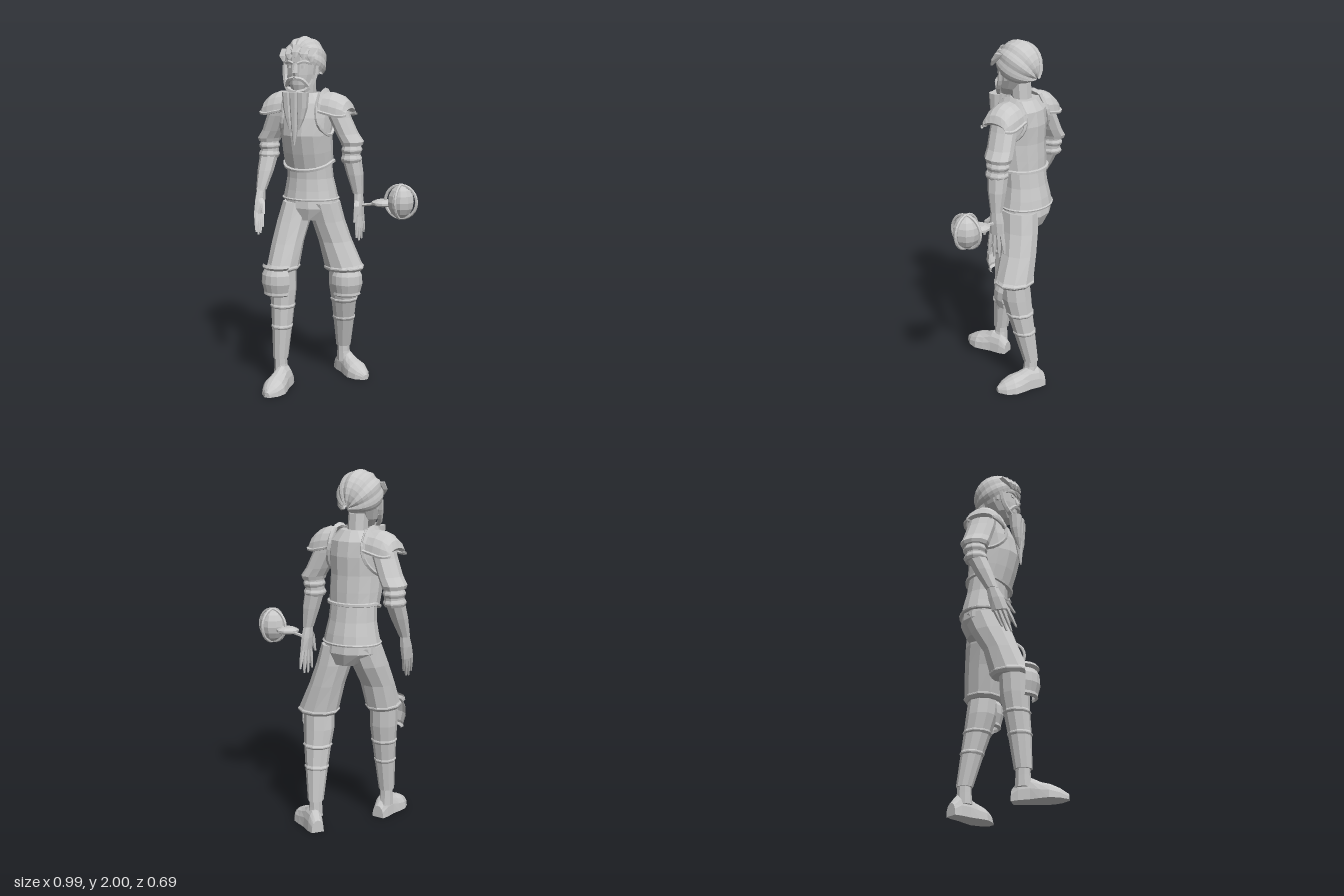
import * as THREE from 'three';

const V = (x, y, z) => new THREE.Vector3(x, y, z);
const CX = -0.165; // centre line of the torso

export function createModel() {
  const clay = new THREE.MeshStandardMaterial({ color: 0xc8c8c8, flatShading: true, side: THREE.DoubleSide });
  clay.name = 'light grey';
  const root = new THREE.Group();
  root.name = 'bearded warrior';

  const add = (name, geo, parent = root) => {
    const m = new THREE.Mesh(geo, clay);
    m.name = name;
    parent.add(m);
    return m;
  };

  // Faceted skin over rows of points
  const skin = (rows, closed) => {
    const n = rows[0].length, pos = [], idx = [];
    rows.forEach(r => r.forEach(p => pos.push(p.x, p.y, p.z)));
    for (let i = 0; i < rows.length - 1; i++) {
      for (let j = 0; j < (closed ? n : n - 1); j++) {
        const a = i * n + j, b = i * n + (j + 1) % n, c = a + n, d = b + n;
        idx.push(a, b, d, a, d, c);
      }
    }
    const g = new THREE.BufferGeometry();
    g.setAttribute('position', new THREE.Float32BufferAttribute(pos, 3));
    g.setIndex(idx);
    const flat = g.toNonIndexed();
    flat.computeVertexNormals();
    return flat;
  };

  // Closed body from level ellipses [x, y, z, rx, rz, front dip]
  const loft = (name, rings, n = 10, parent = root) => {
    const s = [...rings].sort((p, q) => p[1] - q[1]);
    const end = r => [r[0], r[1], r[2], 0, 0];
    const rows = [end(s[0]), ...s, end(s[s.length - 1])].map(([x, y, z, rx, rz, dip = 0]) =>
      Array.from({ length: n }, (_, j) => {
        const a = ((j + 0.5) / n) * Math.PI * 2;
        return V(x + rx * Math.sin(a), y - dip * Math.max(0, Math.cos(a)), z + rz * Math.cos(a));
      }));
    return add(name, skin(rows, true), parent);
  };

  const tube = (name, pts, r, closed = false, seg = 20) =>
    add(name, new THREE.TubeGeometry(new THREE.CatmullRomCurve3(pts, closed), seg, r, 5, closed));

  // Flared lip around a limb
  const lip = (name, x, y, z, rx, rz, h = 0.025) =>
    loft(name, [[x, y + h, z, rx * 0.93, rz * 0.93], [x, y + h * 0.3, z, rx * 1.08, rz * 1.08],
      [x, y, z, rx * 1.08, rz * 1.08], [x, y - h * 0.6, z, rx * 0.95, rz * 0.95]]);

  // Torso: tunic, breastplate, trims and neck
  loft('tunic', [[CX, 1.075, -0.115, 0.165, 0.138], [CX, 1.13, -0.115, 0.153, 0.128],
    [CX, 1.2, -0.11, 0.138, 0.115], [CX, 1.3, -0.1, 0.132, 0.108]], 14);
  loft('breastplate', [[CX, 1.295, -0.095, 0.142, 0.122, 0.045], [CX, 1.36, -0.08, 0.145, 0.135, 0.015],
    [CX, 1.45, -0.065, 0.146, 0.145], [CX, 1.55, -0.075, 0.15, 0.138],
    [CX, 1.63, -0.085, 0.15, 0.115], [CX, 1.685, -0.085, 0.085, 0.075]], 14);
  tube('breastplateRim', Array.from({ length: 16 }, (_, i) => {
    const a = i / 16 * Math.PI * 2;
    return V(CX + 0.144 * Math.sin(a), 1.295 - 0.045 * Math.max(0, Math.cos(a)), -0.095 + 0.124 * Math.cos(a));
  }), 0.011, true, 32);
  tube('tunicHem', Array.from({ length: 14 }, (_, i) => {
    const a = i / 14 * Math.PI * 2;
    return V(CX + 0.164 * Math.sin(a), 1.08, -0.115 + 0.137 * Math.cos(a));
  }), 0.007, true, 28);
  loft('neck', [[-0.17, 1.62, -0.08, 0.07, 0.065], [-0.17, 1.68, -0.075, 0.055, 0.055], [-0.17, 1.77, -0.065, 0.055, 0.058]], 8);

  for (const s of [1, -1]) {
    const side = s > 0 ? 'left' : 'right';
    tube(side + 'ArmholeTrim', [V(CX + s * 0.1, 1.69, -0.03), V(CX + s * 0.1, 1.6, 0.022), V(CX + s * 0.115, 1.51, 0.025),
      V(CX + s * 0.145, 1.45, -0.06), V(CX + s * 0.125, 1.52, -0.165), V(CX + s * 0.105, 1.6, -0.18), V(CX + s * 0.1, 1.69, -0.13)], 0.011);

    // Shoulder guards: arched bands stepping outwards
    const arch = [[0.095, 1.7, 1.6, 0.095], [0.11, 1.715, 1.59, 0.105], [0.122, 1.69, 1.585, 0.1], [0.17, 1.69, 1.575, 0.103],
      [0.215, 1.675, 1.565, 0.1], [0.25, 1.645, 1.565, 0.09], [0.266, 1.605, 1.57, 0.075], [0.25, 1.59, 1.57, 0.06]];
    const rows = arch.map(([x, top, base, rz]) => Array.from({ length: 9 }, (_, j) => {
      const t = j / 8 * Math.PI;
      return V(CX + s * x, base + (top - base) * Math.sin(t), -0.08 + rz * Math.cos(t));
    }));
    add(side + 'ShoulderGuard', skin(rows, false));
    for (const j of [0, 8]) tube(side + 'ShoulderGuardRim', rows.slice(1, 7).map(r => r[j]), 0.009);

    // Sleeve with elbow cuffs
    loft(side + 'Sleeve', [[CX + s * 0.165, 1.64, -0.085, 0.06, 0.075], [CX + s * 0.195, 1.55, -0.092, 0.06, 0.08],
      [CX + s * 0.235, 1.46, -0.103, 0.06, 0.08], [CX + s * 0.263, 1.415, -0.108, 0.064, 0.082],
      [CX + s * 0.263, 1.395, -0.108, 0.058, 0.074]]);
    loft(side + 'Elbow', [[CX + s * 0.26, 1.41, -0.108, 0.05, 0.06], [CX + s * 0.26, 1.31, -0.1, 0.052, 0.058]]);
    lip(side + 'UpperCuff', CX + s * 0.262, 1.365, -0.105, 0.054, 0.063);
    lip(side + 'LowerCuff', CX + s * 0.262, 1.315, -0.1, 0.055, 0.063);
  }

  // Forearms and hands; one arm swings forward
  const arm = (side, fore, knuckle, tip, spread, thumb) => {
    loft(side + 'Forearm', fore, 8);
    const w = fore[fore.length - 1];
    loft(side + 'Palm', [[w[0], w[1] + 0.01, w[2], 0.024, 0.032], [(w[0] + knuckle[0]) / 2, 1.06, (w[2] + knuckle[2]) / 2, 0.026, 0.046],
      [...knuckle, 0.02, 0.05]], 8);
    for (let i = 0; i < 4; i++) {
      const k = i - 1.5, len = [0.02, 0, 0.005, 0.035][i];
      const a = [knuckle[0], knuckle[1] + 0.01, knuckle[2] - k * 0.023];
      const b = [tip[0], tip[1] + len, tip[2] - k * spread];
      loft(side + 'Finger', [[...a, 0.013, 0.013], [...a.map((v, j) => v * 0.5 + b[j] * 0.5), 0.012, 0.012], [...b, 0.006, 0.006]], 6);
    }
    loft(side + 'Thumb', [[w[0], 1.085, w[2] + 0.02, 0.016, 0.018],
      [(w[0] + thumb[0]) / 2 + 0.008, 1.055, (w[2] + thumb[2]) / 2 + 0.015, 0.016, 0.018], [...thumb, 0.007, 0.008]], 6);
  };
  arm('right', [[-0.425, 1.32, -0.095, 0.053, 0.058], [-0.428, 1.23, -0.055, 0.047, 0.052], [-0.432, 1.12, -0.005, 0.029, 0.036]],
    [-0.425, 0.99, 0.04], [-0.4, 0.875, 0.08], 0.026, [-0.36, 1.0, 0.1]);
  arm('left', [[0.097, 1.32, -0.105, 0.054, 0.06], [0.115, 1.23, -0.112, 0.047, 0.053], [0.131, 1.12, -0.12, 0.029, 0.036]],
    [0.138, 0.99, -0.128], [0.14, 0.85, -0.13], 0.036, [0.14, 0.965, -0.045]);

  // Trousers
  loft('hips', [[CX, 1.1, -0.115, 0.15, 0.125], [CX + 0.005, 1.03, -0.115, 0.16, 0.135], [CX + 0.01, 0.96, -0.11, 0.1, 0.11]], 12);
  loft('rightThigh', [[-0.232, 1.06, -0.1, 0.088, 0.12], [-0.245, 0.95, -0.055, 0.093, 0.115], [-0.255, 0.83, 0.005, 0.092, 0.1],
    [-0.262, 0.69, 0.055, 0.09, 0.112]]);
  loft('leftThigh', [[-0.085, 1.06, -0.12, 0.088, 0.118], [-0.065, 0.95, -0.14, 0.092, 0.112], [-0.03, 0.83, -0.16, 0.096, 0.105],
    [0.02, 0.68, -0.17, 0.115, 0.107]]);
  lip('rightTrouserHem', -0.262, 0.69, 0.057, 0.088, 0.11);
  lip('leftTrouserHem', 0.022, 0.67, -0.17, 0.112, 0.104);

  // Shin armour in overlapping sections, knee guard and boot
  const leg = (side, shin, knee, kneeTurn, heel, turn) => {
    loft(side + 'Shin', shin);
    for (const i of [2, 3]) {
      const [x, y, z, rx, rz] = shin[i];
      lip(side + 'ShinBand', x, y, z, rx, rz, 0.022);
    }
    const prof = [[0.07, -0.095], [0.086, -0.085], [0.084, -0.07], [0.098, -0.02], [0.095, 0.03], [0.08, 0.06], [0.094, 0.075], [0.086, 0.09]];
    const guard = add(side + 'KneeGuard', new THREE.LatheGeometry(prof.map(p => new THREE.Vector2(...p)), 6, -1.15, 2.3));
    guard.position.set(...knee);
    guard.rotation.y = kneeTurn;
    const boot = new THREE.Group();
    boot.name = side + 'Boot';
    boot.position.set(heel[0], 0, heel[1]);
    boot.rotation.y = turn;
    root.add(boot);
    const upper = [[0, 0, 0], [0, 0.036, 0.07], [0.04, 0.046, 0.12], [0.1, 0.05, 0.125], [0.15, 0.062, 0.1],
      [0.2, 0.07, 0.085], [0.25, 0.052, 0.06], [0.29, 0.015, 0.03], [0.29, 0, 0]];
    add('bootUpper', skin(upper.map(([z, w, h]) => Array.from({ length: 9 }, (_, j) => {
      const t = j / 8 * Math.PI;
      return V(w * Math.cos(t), h * Math.pow(Math.sin(t), 0.8), z);
    })), true), boot);
    const [ax, , az] = shin[shin.length - 1];
    loft(side + 'Ankle', [[ax, 0.17, az, 0.036, 0.038], [ax, 0.13, az, 0.037, 0.04], [ax + 0.005, 0.07, az, 0.045, 0.045]], 8);
  };
  leg('right', [[-0.256, 0.7, 0.07, 0.078, 0.08], [-0.252, 0.57, 0.075, 0.078, 0.078], [-0.25, 0.47, 0.085, 0.068, 0.07],
    [-0.248, 0.35, 0.1, 0.058, 0.062], [-0.25, 0.165, 0.117, 0.043, 0.048]], [-0.26, 0.635, 0.115], 0, [-0.232, 0.055], 0.04);
  leg('left', [[0.02, 0.68, -0.17, 0.085, 0.085], [0.014, 0.57, -0.18, 0.088, 0.086], [0.009, 0.47, -0.2, 0.076, 0.076],
    [-0.002, 0.35, -0.225, 0.064, 0.063], [-0.02, 0.165, -0.26, 0.044, 0.046]], [0.042, 0.6, -0.162], 0.5, [-0.075, -0.315], 1.0);

  // Head and face
  loft('head', [[-0.17, 1.695, 0.01, 0.04, 0.045], [-0.17, 1.735, -0.005, 0.068, 0.072], [-0.17, 1.79, -0.025, 0.086, 0.093],
    [-0.17, 1.85, -0.035, 0.094, 0.098], [-0.17, 1.92, -0.045, 0.094, 0.102], [-0.17, 1.96, -0.05, 0.06, 0.07]], 12);
  loft('nose', [[-0.17, 1.85, 0.058, 0.008, 0.008], [-0.17, 1.8, 0.072, 0.016, 0.018], [-0.17, 1.785, 0.07, 0.014, 0.012]], 6);
  for (const s of [1, -1]) {
    tube('brow', [V(-0.17 + s * 0.012, 1.85, 0.065), V(-0.17 + s * 0.045, 1.86, 0.054), V(-0.17 + s * 0.078, 1.85, 0.02)], 0.009, false, 6);
    tube('moustache', [V(-0.17, 1.77, 0.078), V(-0.17 + s * 0.04, 1.762, 0.066), V(-0.17 + s * 0.066, 1.725, 0.04)], 0.012, false, 6);
    loft('eye', [[-0.17 + s * 0.038, 1.84, 0.05, 0.014, 0.008], [-0.17 + s * 0.038, 1.825, 0.052, 0.014, 0.008]], 6);
    loft('ear', [[-0.17 + s * 0.098, 1.86, -0.035, 0.012, 0.024], [-0.17 + s * 0.093, 1.79, -0.025, 0.008, 0.014]], 6);
    tube('whisker', [V(-0.17 + s * 0.098, 1.84, 0.0), V(-0.17 + s * 0.09, 1.77, 0.012), V(-0.17 + s * 0.055, 1.705, 0.045), V(-0.17, 1.69, 0.06)], 0.014, false, 8);
  }

  // Beard: three tapering locks
  for (const [k, tip] of [[-1, 1.49], [1, 1.49], [0, 1.4]]) {
    const x = -0.168 + k * 0.047, f = 1 - Math.abs(k) * 0.1;
    loft('beardLock', [[x, 1.695, 0.07, 0.036 * f, 0.043 * f], [x - k * 0.004, 1.61, 0.072, 0.033 * f, 0.036 * f],
      [x - k * 0.012, (1.61 + tip) / 2, 0.08, 0.022, 0.022], [x - k * 0.02, tip, 0.09, 0.004, 0.004]], 8);
  }

  // Hair: ridged cap with strands running from the fringe to the nape
  const front = V(0, 0.4, 0.917), up = V(0, 0.917, -0.4), STR = 28;
  const hair = Array.from({ length: 13 }, (_, i) => {
    const v = 0.12 + (i / 12) * (Math.PI - 0.2);
    return Array.from({ length: STR + 1 }, (_, j) => {
      const a = -0.4 + (j / STR) * (Math.PI + 0.8), ridge = [1, 0.975, 0.945, 0.975][(j + 2) % 4];
      const d = front.clone().multiplyScalar(Math.cos(v)).addScaledVector(up, Math.sin(v) * Math.sin(a));
      d.x = Math.sin(v) * Math.cos(a);
      return V(-0.17 + d.x * 0.123 * ridge, 1.857 + d.y * 0.143 * ridge, -0.052 + d.z * 0.136 * ridge);
    });
  });
  add('hair', skin(hair, false));
  for (let k = -2; k <= 2; k++) {
    const x = -0.17 + k * 0.043, back = Math.abs(k) * 0.012;
    loft('fringeTuft', [[x, 1.955 - back, 0.035 - back, 0.024, 0.03], [x, 1.915 - back, 0.068 - back, 0.026, 0.022],
      [x + 0.01, 1.885 - back, 0.085 - back, 0.006, 0.006]], 6);
  }

  // Mace: grip, flat guard and ribbed head inside two crossed hoops
  tube('maceGrip', [V(0.12, 1.05, -0.118), V(0.2, 1.062, -0.117), V(0.3, 1.08, -0.115)], 0.009, false, 4);
  loft('maceGuard', [[0.283, 1.095, -0.115, 0.035, 0.035], [0.283, 1.082, -0.115, 0.064, 0.064],
    [0.283, 1.07, -0.115, 0.064, 0.064], [0.283, 1.058, -0.115, 0.035, 0.035]], 10);
  const ball = add('maceHead', new THREE.SphereGeometry(0.075, 10, 8));
  ball.scale.y = 1.25;
  ball.position.set(0.392, 1.092, -0.115);
  for (const turn of [0, Math.PI / 2]) {
    const hoop = add('maceHoop', new THREE.TorusGeometry(0.093, 0.009, 6, 24));
    hoop.position.copy(ball.position);
    hoop.rotation.y = turn;
  }
  return root;
}
